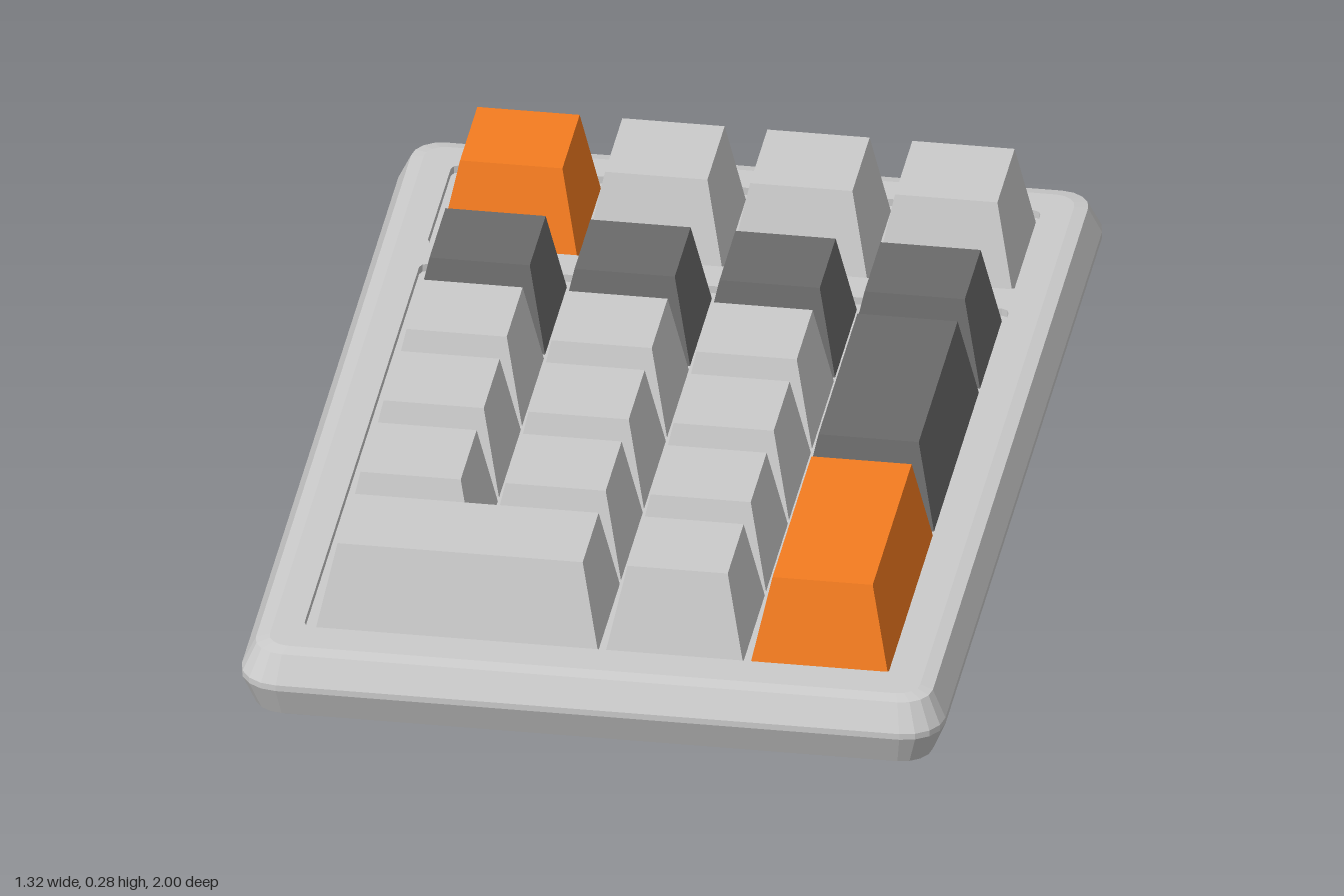
import * as THREE from 'three';

const material = (color) => new THREE.MeshStandardMaterial({ color, flatShading: true });
const GREY = material(0xcccccc);
const DARK = material(0x6a6a6a);
const ORANGE = material(0xf57c20);

const TOP = 0.13;    // height of the case top
const FLOOR = 0.115; // height of the recessed key beds

// Rounded rectangle as a counter-clockwise loop; v is -z
function outline(x0, x1, z0, z1, r, segments = 4) {
  const corners = [[x1 - r, -z0 - r], [x0 + r, -z0 - r], [x0 + r, -z1 + r], [x1 - r, -z1 + r]];
  return corners.flatMap(([cx, cv], c) =>
    Array.from({ length: segments + 1 }, (_, i) => {
      const a = (c + i / segments) * Math.PI / 2;
      return new THREE.Vector2(cx + r * Math.cos(a), cv + r * Math.sin(a));
    }));
}

// Walls through stacked loops: faces outward when rising, inward when falling
function walls(rings) {
  const positions = [];
  for (let k = 0; k + 1 < rings.length; k++) {
    const [lo, hi] = [rings[k], rings[k + 1]];
    const n = lo.loop.length;
    for (let i = 0; i < n; i++) {
      const j = (i + 1) % n;
      const at = (ring, m) => [ring.loop[m].x, ring.y, -ring.loop[m].y];
      const [a, b, c, d] = [at(lo, i), at(lo, j), at(hi, j), at(hi, i)];
      positions.push(...a, ...b, ...c, ...a, ...c, ...d);
    }
  }
  const geometry = new THREE.BufferGeometry();
  geometry.setAttribute('position', new THREE.Float32BufferAttribute(positions, 3));
  geometry.computeVertexNormals();
  return geometry;
}

// Horizontal face, optionally with holes
function plate(loop, y, holes = [], down = false) {
  const shape = new THREE.Shape(loop);
  shape.holes = holes.map((h) => new THREE.Path(h));
  const geometry = new THREE.ShapeGeometry(shape);
  if (down) geometry.rotateX(Math.PI / 2);
  else geometry.rotateX(-Math.PI / 2);
  return geometry.translate(0, y, 0);
}

function add(parent, name, geometry, mat) {
  const mesh = new THREE.Mesh(geometry, mat);
  mesh.name = name;
  parent.add(mesh);
  return mesh;
}

// Tapered keycap; x, z give the footprint at the case top
function keycap(x0, x1, z0, z1, height) {
  const geometry = new THREE.BoxGeometry(1, 1, 1);
  const p = geometry.attributes.position;
  for (let i = 0; i < p.count; i++) {
    const upper = p.getY(i) > 0;
    const side = upper ? 0.035 : 0;
    p.setXYZ(i,
      p.getX(i) < 0 ? x0 + side : x1 - side,
      upper ? height : FLOOR,
      p.getZ(i) < 0 ? z0 + (upper ? 0.03 : 0) : z1 - (upper ? 0.04 : 0));
  }
  geometry.computeVertexNormals();
  return geometry;
}

export function createModel() {
  const model = new THREE.Group();
  model.name = 'numberPad';

  // Case with a bevelled rim and two recessed key beds
  const caseGroup = new THREE.Group();
  caseGroup.name = 'case';
  model.add(caseGroup);
  const profile = [[0, 0.025], [0.06, 0], [0.072, 0], [0.125, 0.025], [TOP, 0.05]];
  const rings = profile.map(([y, inset]) => ({
    y, loop: outline(-0.66 + inset, 0.66 - inset, -1 + inset, 1 - inset, 0.075 - inset * 0.7),
  }));
  const beds = [outline(-0.553, 0.553, -0.885, -0.585, 0.015, 2),
                outline(-0.553, 0.553, -0.51, 0.873, 0.015, 2)];
  add(caseGroup, 'caseRim', walls(rings), GREY);
  add(caseGroup, 'caseTop', plate(rings.at(-1).loop, TOP, beds), GREY);
  // Turning the symmetric outline over keeps its footprint
  add(caseGroup, 'caseBottom', plate(rings[0].loop, 0).rotateX(Math.PI), GREY);
  for (const loop of beds) {
    add(caseGroup, 'bedWall', walls([{ loop, y: TOP }, { loop, y: FLOOR }]), GREY);
    add(caseGroup, 'bedFloor', plate(loop, FLOOR), GREY);
  }

  // Keys on a regular grid: name, column, row, columns wide, rows deep, material
  const keys = new THREE.Group();
  keys.name = 'keys';
  model.add(keys);
  const PITCH = 0.272, GAP = 0.014;
  const layout = [
    ['wideBottomKey', 0, 4, 2, 1, GREY],
    ['pointKey', 2, 4, 1, 1, GREY],
    ['tallDarkKey', 3, 1, 1, 2, DARK],
    ['tallOrangeKey', 3, 3, 1, 2, ORANGE],
  ];
  for (let col = 0; col < 4; col++) layout.push(['operatorKey', col, 0, 1, 1, DARK]);
  for (let row = 1; row < 4; row++)
    for (let col = 0; col < 3; col++) layout.push(['numberKey', col, row, 1, 1, GREY]);
  for (const [name, col, row, w, d, mat] of layout) {
    const x = -0.533 + col * PITCH, z = -0.49 + row * PITCH;
    add(keys, name, keycap(x, x + w * PITCH - GAP, z, z + d * PITCH - GAP, 0.28), mat);
  }

  // Separate, slightly taller back row
  for (let col = 0; col < 4; col++) {
    const x = -0.533 + col * PITCH;
    add(keys, 'functionKey', keycap(x, x + 0.262, -0.867, -0.593, 0.285), col ? GREY : ORANGE);
  }
  return model;
}
